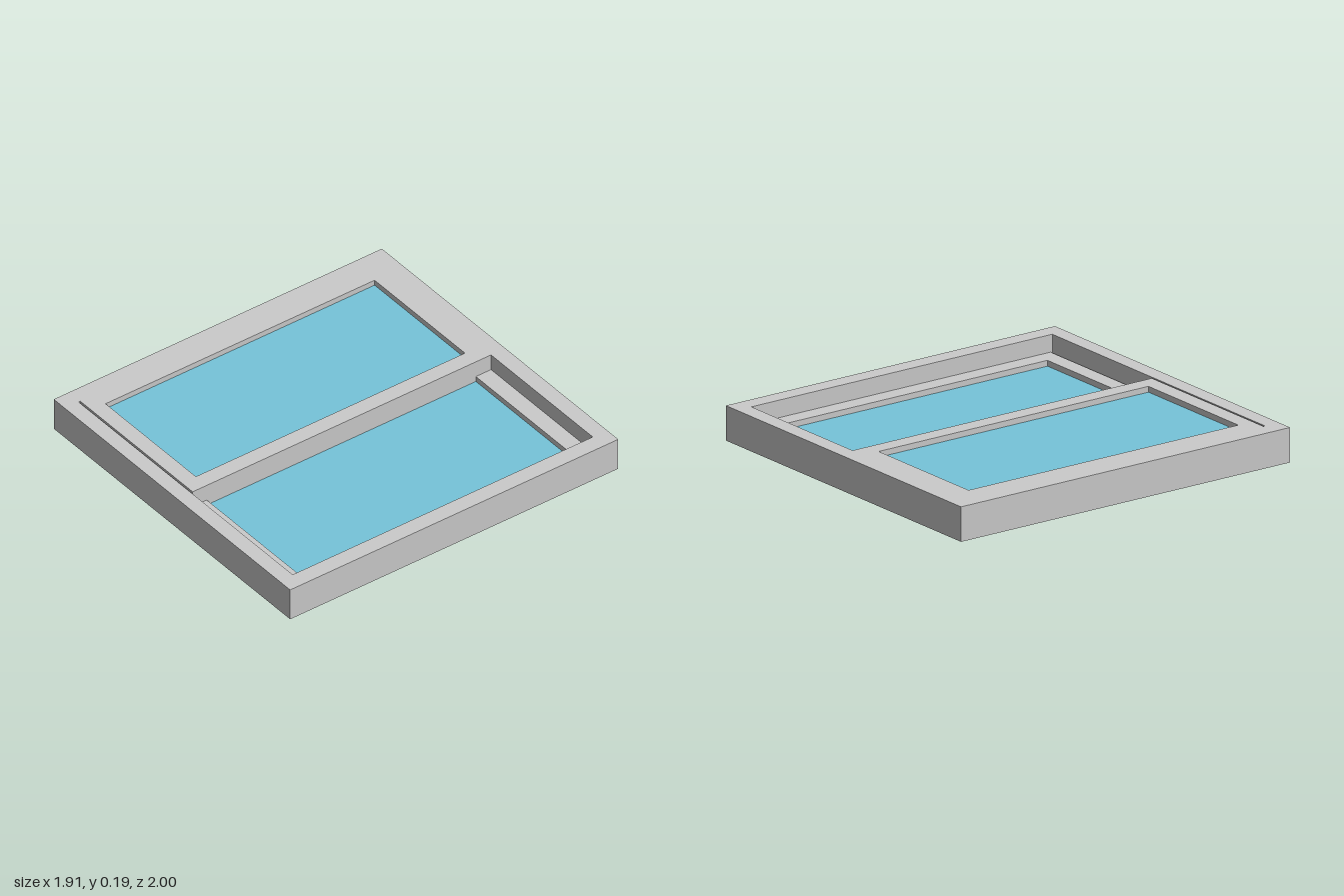
import * as THREE from 'three';

const grey = new THREE.MeshStandardMaterial({ color: 0xcccccc });
const blue = new THREE.MeshStandardMaterial({ color: 0x76c5da });

// Rectangles are [x0, x1, z0, z1]
function trace(path, [x0, x1, z0, z1]) {
  path.moveTo(x0, z0);
  path.lineTo(x1, z0);
  path.lineTo(x1, z1);
  path.lineTo(x0, z1);
  path.closePath();
  return path;
}

// Flat slab between heights y0 and y1, with rectangular holes
function slab(name, rect, holes, y0, y1, material = grey) {
  const shape = trace(new THREE.Shape(), rect);
  for (const h of holes) shape.holes.push(trace(new THREE.Path(), h));
  const geo = new THREE.ExtrudeGeometry(shape, { depth: y1 - y0, bevelEnabled: false });
  geo.rotateX(Math.PI / 2).translate(0, y1, 0);
  const mesh = new THREE.Mesh(geo, material);
  mesh.name = name;
  return mesh;
}

export function createModel() {
  const model = new THREE.Group();
  model.name = 'slidingWindow';
  const bottom = 0.005, middle = 0.095, top = 0.185;

  // Outer frame
  model.add(slab('outerFrame', [-0.955, 0.955, -1, 1], [[-0.865, 0.865, -0.9125, 0.9165]], bottom, top));

  // Sash sizes; a narrow gap is left at the +z end of the frame
  const z0 = -0.9125, z1 = 0.906, glassZ = 0.82;
  const leftGlass = [0.043, 0.775, -glassZ, glassZ];
  const rightGlass = [-0.775, -0.045, -glassZ, glassZ];

  // Upper sash on the -x side
  const upper = new THREE.Group();
  upper.name = 'upperSash';
  upper.add(
    slab('upperSashFrame', [-0.865, 0.043, z0, z1], [rightGlass], middle, top),
    slab('upperGlass', rightGlass, [], middle + 0.03, top - 0.03, blue)
  );

  // Lower sash on the +x side, its underside pierced for the finger pull
  const lower = new THREE.Group();
  lower.name = 'lowerSash';
  const pocket = [0.798, 0.834, -0.067, 0.067];
  const pocketTop = bottom + 0.03;
  const lowerRect = [-0.043, 0.865, z0, z1];
  lower.add(
    slab('lowerSashUnderside', lowerRect, [leftGlass, pocket], bottom, pocketTop),
    slab('lowerSashFrame', lowerRect, [leftGlass], pocketTop, middle),
    slab('lowerGlass', leftGlass, [], bottom + 0.03, middle - 0.03, blue),
    slab('fingerPullRim', [0.79, 0.842, -0.075, 0.075], [pocket], 0, bottom)
  );

  model.add(upper, lower);
  return model;
}
